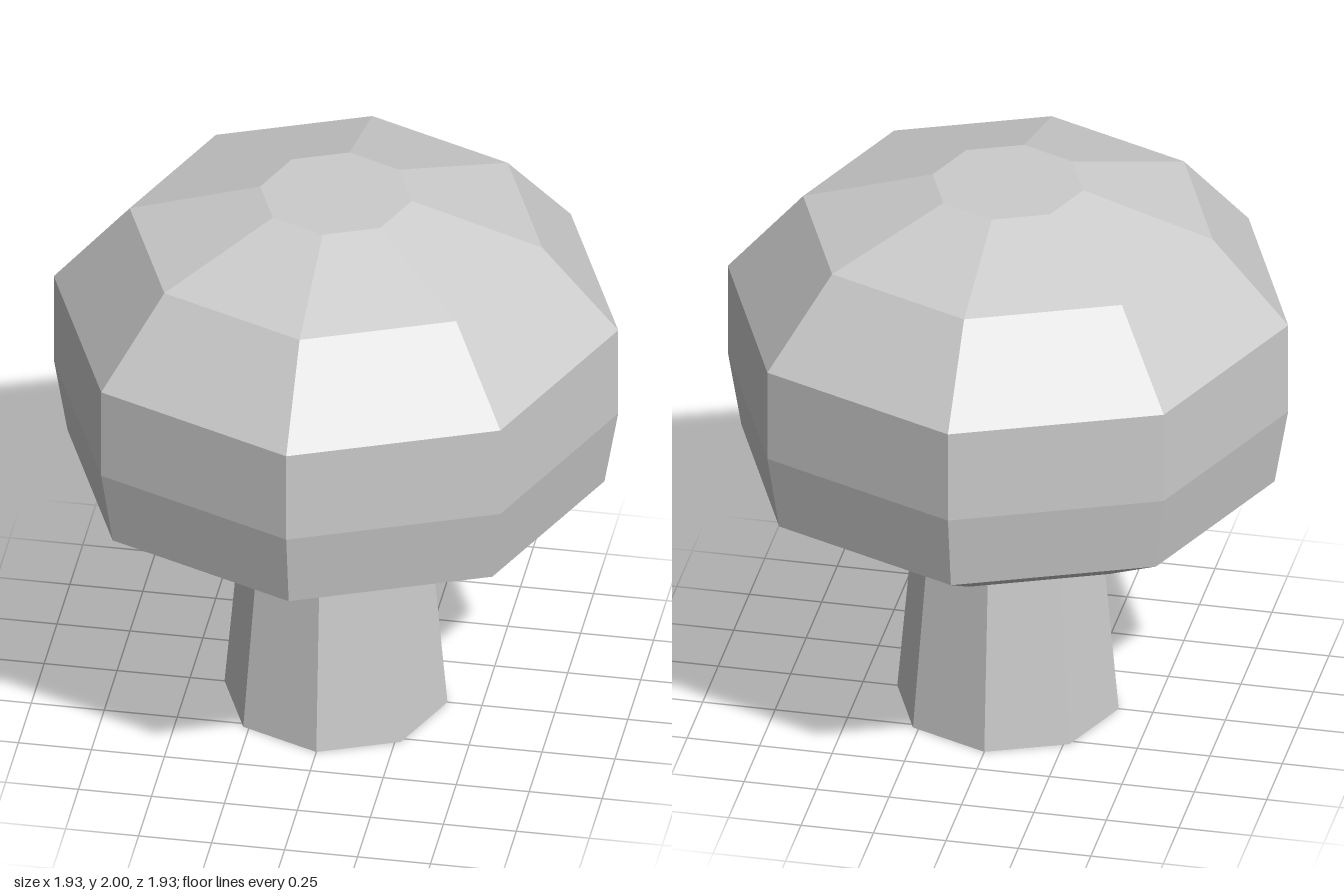
import * as THREE from 'three';

const SIDES = 8;

// Faceted octagonal solid of revolution from [radius, height] pairs, bottom to top
function facetedLathe(name, profile, material) {
  const points = profile.map(([r, y]) => new THREE.Vector2(r, y));
  const geometry = new THREE.LatheGeometry(points, SIDES).toNonIndexed();
  geometry.computeVertexNormals();
  const mesh = new THREE.Mesh(geometry, material);
  mesh.name = name;
  return mesh;
}

export function createModel() {
  const group = new THREE.Group();
  group.name = 'tree';

  const grey = new THREE.MeshStandardMaterial({ color: 0xcccccc });
  grey.name = 'lightGrey';

  // Tapered trunk, closed at the foot and open where it meets the crown
  group.add(facetedLathe('trunk', [[0, 0], [0.382, 0], [0.32, 0.7]], grey));

  // Rounded crown with a flat top
  group.add(facetedLathe('crown', [
    [0.32, 0.7], [0.63, 0.78], [0.92, 0.948], [0.967, 1.225],
    [0.967, 1.56], [0.707, 1.862], [0.26, 2], [0, 2],
  ], grey));

  return group;
}
